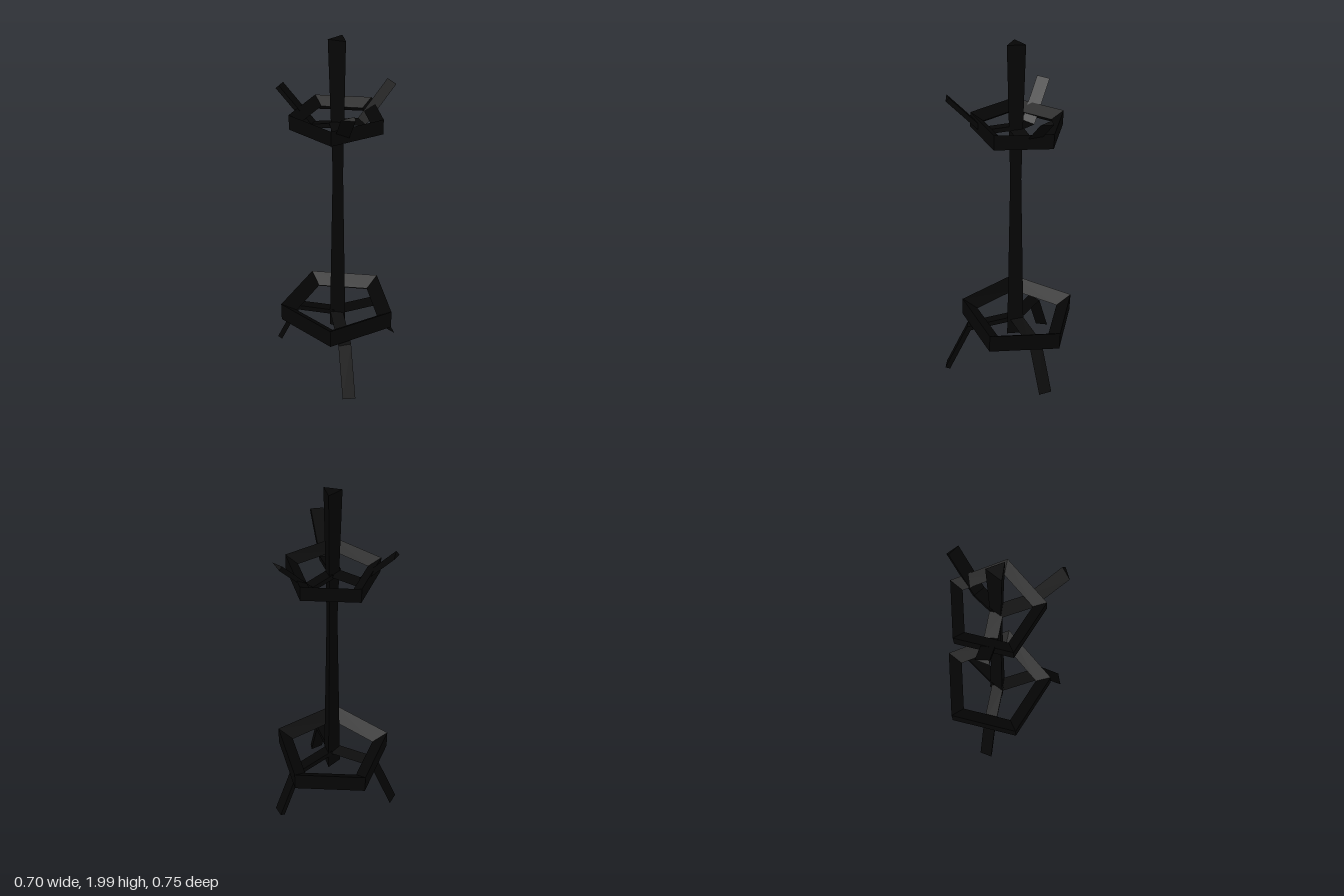
import * as THREE from 'three';

const material = new THREE.MeshStandardMaterial({ color: 0x050505, flatShading: true });

function addMesh(parent, name, geometry) {
  const mesh = new THREE.Mesh(geometry, material);
  mesh.name = name;
  parent.add(mesh);
  return mesh;
}

// Skin a row of three-cornered sections; a closed row joins its ends, an open one is capped
function threeSidedBar(sections, closed = false) {
  const index = [];
  const count = sections.length;
  for (let s = 0; s < (closed ? count : count - 1); s++) {
    const a = s * 3;
    const b = ((s + 1) % count) * 3;
    for (let i = 0; i < 3; i++) {
      const j = (i + 1) % 3;
      index.push(a + i, a + j, b + j, a + i, b + j, b + i);
    }
  }
  if (!closed) {
    const last = (count - 1) * 3;
    index.push(2, 1, 0, last, last + 1, last + 2);
  }
  const geometry = new THREE.BufferGeometry();
  geometry.setAttribute('position', new THREE.Float32BufferAttribute(sections.flat(2), 3));
  geometry.setIndex(index);
  const faceted = geometry.toNonIndexed();
  faceted.computeVertexNormals();
  return faceted;
}

// Pentagon with an upright outer wall and a ridge on the inside, leaning slightly back
function pentagonRing(outer, inner, height) {
  const sections = Array.from({ length: 5 }, (_, i) => {
    const a = Math.PI + (i * 2 * Math.PI) / 5;
    const corner = (r, y) => [r * Math.cos(a), y, -r * Math.sin(a)];
    return [corner(outer, height / 2), corner(outer, -height / 2), corner(inner, 0)];
  });
  return threeSidedBar(sections, true).rotateX(-0.033);
}

// Wedge-shaped strap bent once: thick along one edge, sharp along the other
function bentStrap(points, width, thickness) {
  const [a, b, c] = points.map(([x, y]) => new THREE.Vector2(x, y));
  const normal = (p, q) => {
    const d = q.clone().sub(p).normalize();
    return new THREE.Vector2(-d.y, d.x);
  };
  const n1 = normal(a, b);
  const n2 = normal(b, c);
  const mitre = n1.clone().add(n2).normalize();
  mitre.divideScalar(mitre.dot(n1));
  const h = thickness / 2;
  const w = width / 2;
  return threeSidedBar([[a, n1], [b, mitre], [c, n2]].map(([p, n]) => [
    [p.x + n.x * h, p.y + n.y * h, -w],
    [p.x, p.y, w],
    [p.x - n.x * h, p.y - n.y * h, -w],
  ]));
}

export function createModel() {
  const model = new THREE.Group();
  model.name = 'coatStand';

  // Three-sided pole, slimmest in the middle
  const levels = [[0.055, 0.25], [0.034, 1.25], [0.042, 1.55], [0.055, 2]];
  const pole = addMesh(model, 'pole', threeSidedBar(levels.map(([r, y]) =>
    [1, 3, 5].map((k) => [r * Math.cos((k * Math.PI) / 3), y, -r * Math.sin((k * Math.PI) / 3)]))));
  pole.position.set(-0.007, 0, -0.037);

  // Pentagon rings
  addMesh(model, 'lowerRing', pentagonRing(0.332, 0.243, 0.103)).position.set(-0.007, 0.36, -0.06);
  addMesh(model, 'upperRing', pentagonRing(0.257, 0.187, 0.081)).position.set(-0.008, 1.557, -0.055);

  // Three spokes, each with a leg below and a hook above
  const spokes = [
    { name: 'front', start: [-0.025, -0.035], dir: [0, 1], drop: 0, lift: 0.025, reach: 0.03, foot: 0.395 },
    { name: 'backLeft', start: [0.005, -0.04], dir: [0.936, -0.352], drop: 0.035, lift: 0, reach: 0, foot: 0.355 },
    { name: 'backRight', start: [-0.02, -0.05], dir: [-0.837, -0.547], drop: 0.035, lift: 0, reach: 0, foot: 0.355 },
  ];
  for (const { name, start, dir, drop, lift, reach, foot } of spokes) {
    const spoke = new THREE.Group();
    spoke.name = name + 'Spoke';
    spoke.position.set(start[0], 0, start[1]);
    spoke.rotation.y = Math.atan2(-dir[1], dir[0]);
    addMesh(spoke, name + 'Leg', bentStrap(
      [[0, 0.345], [0.235 + reach, 0.295 + drop / 2], [foot, 0.02 + drop]], 0.07, 0.029));
    addMesh(spoke, name + 'Hook', bentStrap(
      [[0, 1.535 + lift / 2], [0.13 + reach, 1.507 + lift], [0.315 + reach, 1.698 + lift]], 0.07, 0.025));
    model.add(spoke);
  }
  return model;
}
